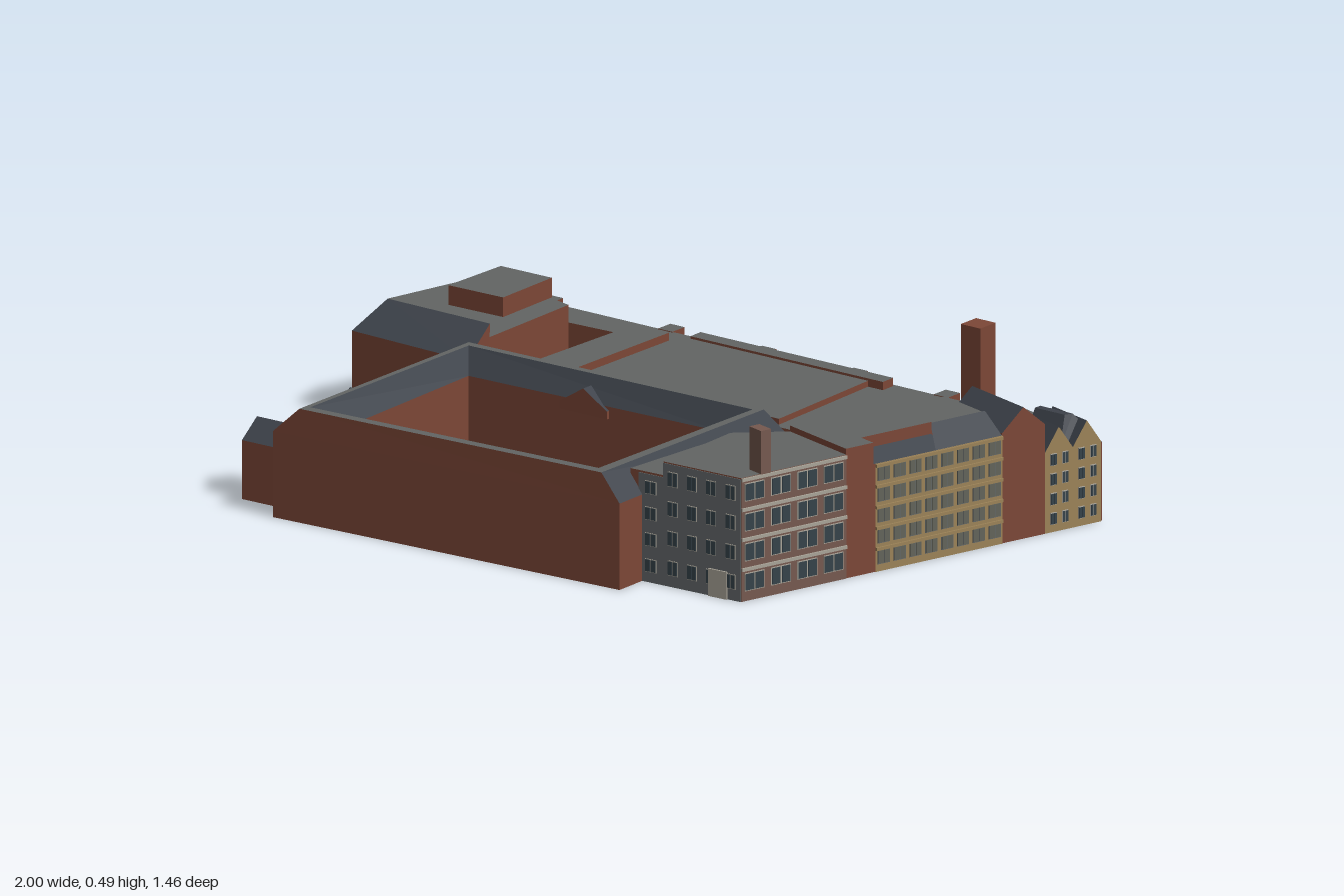
import * as THREE from 'three';
import { mergeGeometries } from 'three/addons/utils/BufferGeometryUtils.js';

const mat = (color) => new THREE.MeshStandardMaterial({ color, flatShading: true, side: THREE.DoubleSide });
const brick = mat(0x7c4737), slate = mat(0x3c4149), flat = mat(0x626563), glass = mat(0x35424a), paleGlass = mat(0x62645a);
const beige = mat(0x9c8358), grey = mat(0x64696b), brown = mat(0x76594f), trim = mat(0xa9a498), dark = mat(0x54332a);

export function createModel() {
  const model = new THREE.Group();
  const add = (name, geo, material) => {
    const m = new THREE.Mesh(geo, material);
    m.name = name;
    model.add(m);
  };

  // convex polygons of [x, y, z] corners, joined in one mesh
  const faces = (name, polys, material) => {
    const pos = [];
    for (const p of polys)
      for (let i = 1; i < p.length - 1; i++) pos.push(...p[0], ...p[i], ...p[i + 1]);
    const g = new THREE.BufferGeometry();
    g.setAttribute('position', new THREE.Float32BufferAttribute(pos, 3));
    g.computeVertexNormals();
    add(name, g, material);
  };
  const up = (p, y) => [p[0], y, p[1]];
  const wall = (a, b, y0, y1) => [up(a, y0), up(b, y0), up(b, y1), up(a, y1)];

  // flat-roofed block over a plan outline, open below
  const block = (name, pts, y1, y0 = 0) => {
    faces(name + 'Walls', pts.map((p, i) => wall(p, pts[(i + 1) % pts.length], y0, y1)), brick);
    const s = new THREE.Shape(pts.map((p) => new THREE.Vector2(p[0], -p[1])));
    add(name + 'Roof', new THREE.ShapeGeometry(s).rotateX(-Math.PI / 2).translate(0, y1, 0), flat);
  };

  // point on a facade line: t along a-b, inset towards the inside
  const at = (a, b, t, inset = 0) => {
    const dx = b[0] - a[0], dz = b[1] - a[1], l = Math.hypot(dx, dz);
    return [a[0] + dx * t + (dz / l) * inset, a[1] + dz * t - (dx / l) * inset];
  };
  // box lying on a facade line
  const slab = (a, b, t, w, y, h, depth, inset = 0) => {
    const [x, z] = at(a, b, t, inset);
    return new THREE.BoxGeometry(w, h, depth)
      .rotateY(Math.atan2(a[1] - b[1], b[0] - a[0])).translate(x, y, z);
  };
  // facade panel with a regular grid of framed windows and floor bands
  const facade = (name, a, b, y0, y1, floors, cols, o = {}) => {
    const { panel, fw = 0.55, fh = 0.55, frame = trim, band, pane = glass } = o;
    const L = Math.hypot(b[0] - a[0], b[1] - a[1]), w = (L / cols) * fw, fl = (y1 - y0) / floors, h = fl * fh;
    if (panel) add(name + 'Panel', slab(a, b, 0.5, L, y1 / 2, y1, 0.004), panel);
    const panes = [], frames = [], bands = [];
    for (let f = 0; f < floors; f++) {
      const y = y0 + (f + 0.5) * fl;
      for (let c = 0; c < cols; c++) {
        const t = (c + 0.5) / cols;
        for (const k of [-1, 1]) panes.push(slab(a, b, t + k * w * 0.25 / L, w * 0.42, y, h * 0.9, 0.01));
        frames.push(slab(a, b, t, w, y, h, 0.007));
      }
      bands.push(slab(a, b, 0.5, L, y0 + (f + 1) * fl - 0.005, 0.008, 0.014));
    }
    add(name + 'Panes', mergeGeometries(panes), pane);
    add(name + 'Frames', mergeGeometries(frames), frame);
    if (band) add(name + 'Bands', mergeGeometries(bands), band);
  };
  // gabled house with its gable on line a-b
  const gable = (name, a, b, depth, eave, peak, { side = brick, front = side, y0 = 0 } = {}) => {
    const c = at(a, b, 1, depth), d = at(a, b, 0, depth), m = up(at(a, b, 0.5), peak), n = up(at(a, b, 0.5, depth), peak);
    const end = (p, q, r) => [up(p, y0), up(q, y0), up(q, eave), r, up(p, eave)];
    faces(name + 'Front', [end(a, b, m)], front);
    faces(name + 'Walls', [end(d, c, n), wall(a, d, y0, eave), wall(b, c, y0, eave)], side);
    faces(name + 'Roof', [[up(a, eave), up(d, eave), n, m], [m, n, up(c, eave), up(b, eave)]], slate);
  };

  // courtyard ring: outer eave, flat ridge strip (R to Q) and inner eave at each corner
  const O = [[-0.655, -0.19], [0.295, 0.065], [0.122, 0.724], [-0.875, 0.505]];
  const R = [[-0.62, -0.125], [0.245, 0.1], [0.07, 0.713], [-0.8, 0.521]];
  const Q = [[-0.61, -0.1], [0.22, 0.11], [0.05, 0.682], [-0.78, 0.5]];
  const I = [[-0.59, -0.05], [0.15, 0.13], [0.01, 0.635], [-0.72, 0.475]];
  const ringWalls = [], ringRoof = [], ringRidge = [];
  for (let i = 0; i < 4; i++) {
    const j = (i + 1) % 4;
    ringWalls.push(wall(O[i], O[j], 0, 0.22), wall(I[i], I[j], 0, 0.23));
    (i === 2 ? ringWalls : ringRoof).push([up(O[i], 0.22), up(O[j], 0.22), up(R[j], 0.29), up(R[i], 0.29)]);
    ringRidge.push([up(R[i], 0.29), up(R[j], 0.29), up(Q[j], 0.29), up(Q[i], 0.29)]);
    ringRoof.push([up(Q[i], 0.29), up(Q[j], 0.29), up(I[j], 0.23), up(I[i], 0.23)]);
  }
  faces('courtyardWalls', ringWalls, brick);
  faces('courtyardRoof', ringRoof, slate);
  faces('courtyardRidge', ringRidge, flat);
  block('courtyardBay', [[-0.43, 0.54], [-0.38, 0.5], [-0.31, 0.515], [-0.28, 0.57]], 0.22);
  gable('courtyardDormer', [-0.17, 0.01], [-0.31, -0.028], 0.05, 0.22, 0.265, { y0: 0.2 });

  // west annexes
  gable('westAnnexNorth', [-0.835, -0.03], [-0.88, 0.14], 0.13, 0.15, 0.2);
  gable('westAnnexSouth', [-0.97, 0.28], [-1, 0.4], 0.17, 0.15, 0.195);

  // north-west block with its sloped south roof and plant room
  const NE = [1, -0.23], NW = [-0.757, -0.73], SW = [-1, -0.305], S = [0.43, 0.7];
  const r0 = [-0.945, -0.4], r1 = [-0.64, -0.31], e1 = [-0.65, -0.19];
  block('northWestBlock', [NW, [-0.64, -0.697], [-0.66, -0.6], [-0.52, -0.52], [-0.6, -0.21], r1, r0], 0.28);
  faces('northWestEaveWalls', [wall(SW, e1, 0, 0.22), wall(r0, SW, 0, 0.22), wall(e1, r1, 0, 0.22),
    [up(r0, 0.22), up(SW, 0.22), up(r0, 0.28)], [up(r1, 0.22), up(e1, 0.22), up(r1, 0.28)]], brick);
  faces('northWestSlope', [[up(r0, 0.28), up(SW, 0.22), up(e1, 0.22), up(r1, 0.28)]], slate);
  block('plantRoom', [[-0.73, -0.6], [-0.58, -0.56], [-0.63, -0.37], [-0.79, -0.41]], 0.33, 0.28);
  facade('westFacade', NW, at(NW, SW, 0.78), 0.01, 0.27, 4, 4, { fw: 0.75, band: trim });

  // central hall with raised roof slabs
  const N = (t, inset = 0) => at(NE, NW, t, inset);
  block('hall', [N(0.09, 0.04), [0.8, -0.14], [0.7, -0.19], [0.56, -0.25], [0.43, 0.12], [0.295, 0.065], [-0.5, -0.15],
    [-0.39, -0.49], [-0.52, -0.52], [-0.66, -0.6], N(0.933, 0.04)], 0.235);
  block('hallSlab', [[-0.17, -0.52], [0.35, -0.34], [0.26, 0.04], [-0.27, -0.12]], 0.25, 0.235);
  block('hallRidge', [[-0.27, -0.49], [-0.24, -0.48], [-0.35, -0.11], [-0.38, -0.12]], 0.255, 0.235);
  block('hallNorthStep', [[-0.17, -0.51], [0.4, -0.35], [0.39, -0.31], [-0.18, -0.47]], 0.256, 0.235);

  // north front: window bays, mansard, dormers and flush brick piers
  faces('northWall', [wall(N(0.09), N(0.933), 0, 0.17)], brick);
  faces('northMansard', [[up(N(0.09), 0.17), up(N(0.933), 0.17), up(N(0.933, 0.04), 0.235), up(N(0.09, 0.04), 0.235)]], slate);
  const piers = [0.1, 0.255, 0.41, 0.565, 0.72, 0.925];
  piers.forEach((t, i) => {
    block('northPier', [N(t - 0.012, -0.003), N(t + 0.012, -0.003), N(t + 0.012, 0.045), N(t - 0.012, 0.045)], 0.237);
    if (i === piers.length - 1) return;
    const a = N(t + 0.013), b = N(piers[i + 1] - 0.013);
    facade('northBay', a, b, 0.01, 0.165, 3, 8, { panel: dark, fw: 0.62, fh: 0.68 });
    for (let k = 0; k < 4; k++) {
      const c = (k + 0.5) / 4;
      gable('northDormer', at(a, b, c - 0.07, 0.003), at(a, b, c + 0.07, 0.003), 0.035, 0.19, 0.21, { side: slate, y0: 0.165 });
    }
  });

  // plain brick corner wing with a steep roof
  const wing = [N(0.002), N(0.09), N(0.09, 0.1), N(0.03, 0.1)];
  const wingTop = [N(0.03, 0.05), N(0.085, 0.05), N(0.085, 0.07), N(0.035, 0.07)];
  block('cornerWing', wing, 0.2);
  faces('cornerWingRoof', [...wing.map((p, i) => [up(p, 0.2), up(wing[(i + 1) % 4], 0.2),
    up(wingTop[(i + 1) % 4], 0.275), up(wingTop[i], 0.275)]), wingTop.map((p) => up(p, 0.275))], slate);

  // east range, placed by z along the street line
  const E = (z, inset = 0) => at(S, NE, (0.7 - z) / 0.93, inset);
  const strip = (z0, z1, i0 = 0, i1 = 0.23) => [E(z0, i0), E(z1, i0), E(z1, i1), E(z0, i1)];
  const W = [0.11, 0.625], M = at(W, S, 0.3);
  block('southCorner', [M, S, E(0.43), E(0.43, 0.23), [0.27, 0.375]], 0.315);
  block('southLowEnd', [W, M, [0.27, 0.375], [0.21, 0.36]], 0.28);
  block('southStep', [at(W, S, 0.25, 0.02), M, [0.275, 0.48], [0.24, 0.47]], 0.297, 0.28);
  facade('southFacade', M, S, 0.01, 0.312, 4, 4, { panel: grey, fw: 0.5, fh: 0.5 });
  facade('southLowFacade', at(W, S, 0.08), M, 0.01, 0.275, 4, 1, { panel: grey, fw: 0.45, fh: 0.5 });
  add('southDoor', slab(W, S, 0.8, 0.055, 0.035, 0.07, 0.014), trim);
  facade('cornerFacade', S, E(0.43), 0.01, 0.315, 4, 4, { panel: brown, fw: 0.75, fh: 0.6, band: trim });
  add('cornerChimney', slab(S, NE, 0.067, 0.03, 0.365, 0.12, 0.048, 0.02), brown);

  block('eastBrickBay', strip(0.43, 0.36), 0.33);
  block('eastRange', strip(0.36, 0.03), 0.275);
  block('eastUpperRange', strip(0.36, 0.18, 0.05), 0.33, 0.275);
  block('eastLowerUpper', strip(0.18, 0.03, 0.07), 0.315, 0.275);
  faces('eastMansard', [[up(E(0.36), 0.275), up(E(0.18), 0.275), up(E(0.18, 0.05), 0.3), up(E(0.36, 0.05), 0.3)],
    [up(E(0.2), 0.275), up(E(0.03), 0.275), up(E(0.03, 0.07), 0.32), up(E(0.17, 0.07), 0.32)]], slate);
  facade('eastFacade', E(0.355), E(0.03), 0.01, 0.275, 5, 8,
    { panel: beige, fw: 0.75, fh: 0.68, frame: grey, band: beige, pane: paleGlass });

  // gabled stair tower, twin-gabled corner house and tall chimney
  gable('stairTower', E(0.03), E(-0.08), 0.21, 0.28, 0.335);
  for (const z of [-0.08, -0.152]) {
    gable('cornerHouse', E(z), E(z - 0.072), 0.14, 0.205, 0.265, { front: beige });
    facade('cornerHouseFront', E(z - 0.006), E(z - 0.066), 0.01, 0.21, 4, 2, { fw: 0.5, fh: 0.6 });
  }
  block('chimneyBase', strip(-0.08, -0.14, 0.13, 0.25), 0.26);
  add('tallChimney', new THREE.BoxGeometry(0.06, 0.485, 0.06).rotateY(-0.28).translate(0.698, 0.2425, -0.167), brick);

  return model;
}
